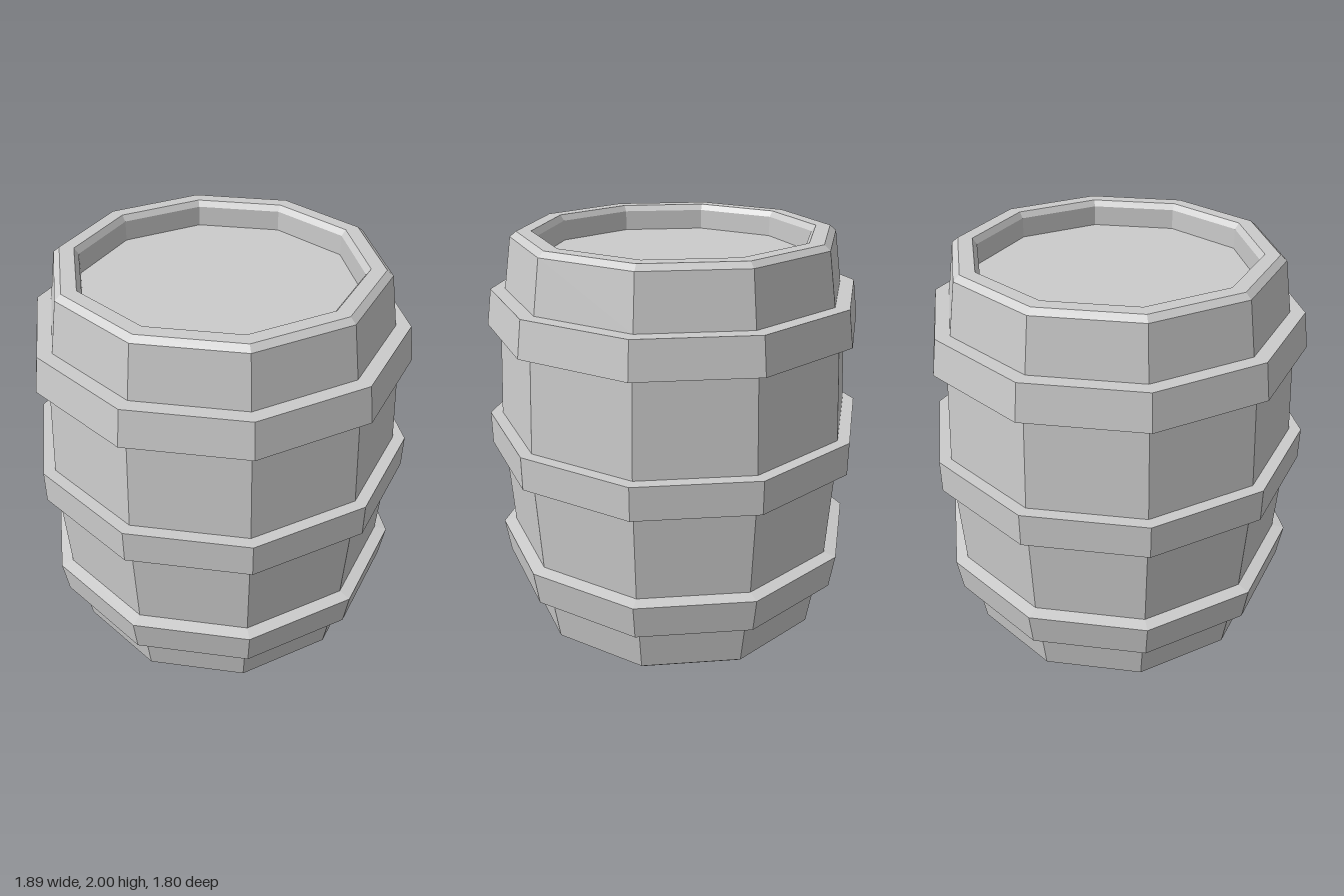
import * as THREE from 'three';

const SIDES = 10;

// Ten-sided ring turned from [radius, height] points; a corner lies on +x.
function turned(name, points, material) {
  const profile = points.map(([r, y]) => new THREE.Vector2(r, y));
  const mesh = new THREE.Mesh(new THREE.LatheGeometry(profile, SIDES, Math.PI / 2), material);
  mesh.name = name;
  return mesh;
}

// Mirrors a profile about mid-height, keeping its bottom-to-top direction.
const flip = (points) => points.map(([r, y]) => [r, 2 - y]).reverse();

export function createModel() {
  const group = new THREE.Group();
  group.name = 'barrel';
  const material = new THREE.MeshStandardMaterial({ color: 0xcccccc, flatShading: true });

  // Bulging staves with rims chamfered on both sides and upright inner walls
  const upperHalf = [
    [0.887, 1.083], [0.861, 1.537], [0.828, 1.722], [0.788, 1.975],
    [0.757, 2], [0.686, 2], [0.665, 1.972], [0.665, 1.873],
  ];
  group.add(turned('staves', [...flip(upperHalf), ...upperHalf], material));

  // Recessed lids
  const lid = [[0.665, 1.873], [0, 1.873]];
  group.add(turned('topLid', lid, material));
  group.add(turned('bottomLid', flip(lid), material));

  // Hoops, running slightly into the staves
  const hoop = [[0.85, 1.535], [0.924, 1.549], [0.898, 1.725], [0.82, 1.725]];
  group.add(turned('upperHoop', hoop, material));
  group.add(turned('lowerHoop', flip(hoop), material));
  group.add(turned('middleHoop', [[0.88, 0.917], [0.947, 0.917], [0.947, 1.083], [0.88, 1.083]], material));

  return group;
}
